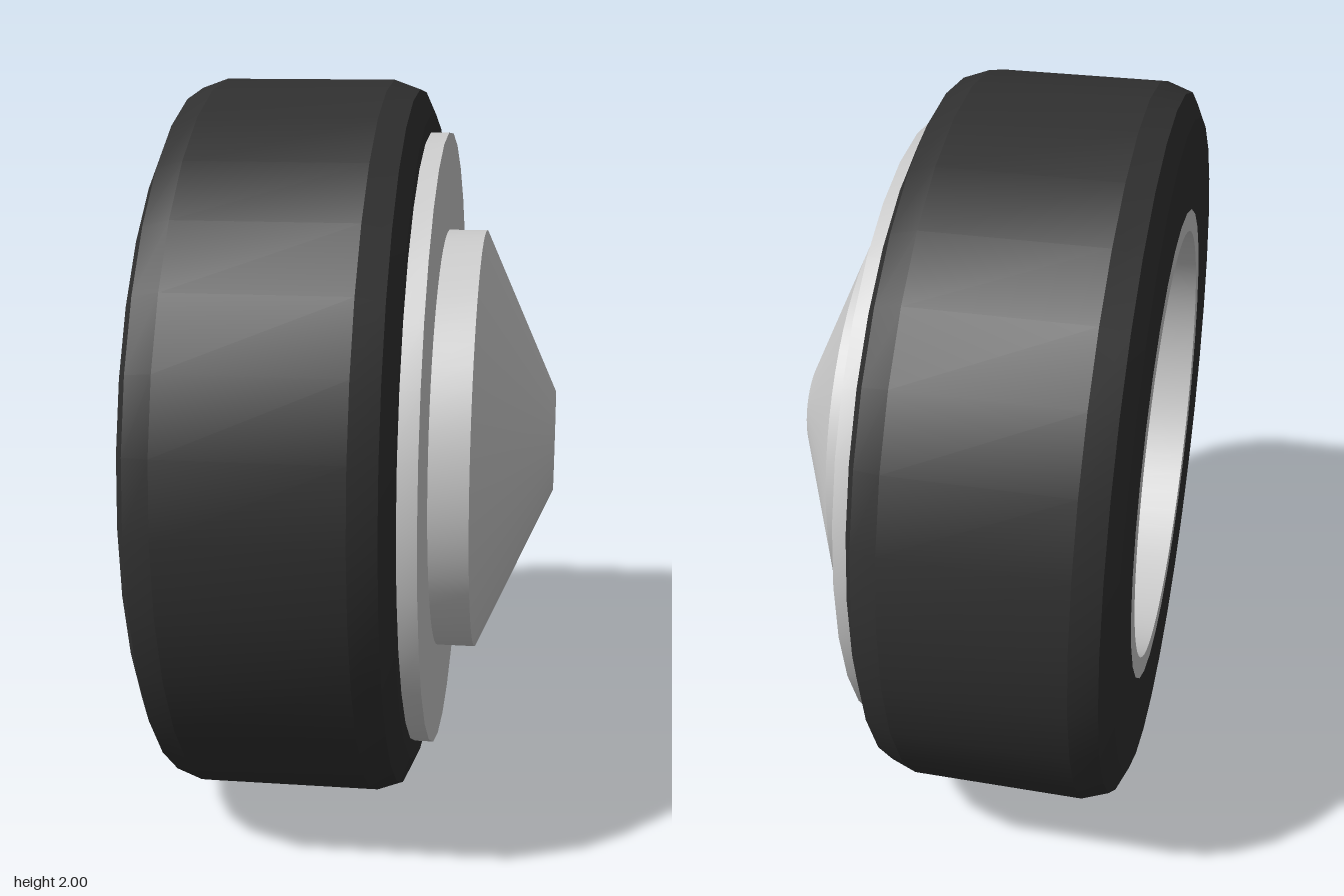
import * as THREE from 'three';
import { toCreasedNormals } from 'three/addons/utils/BufferGeometryUtils.js';

const grey = new THREE.MeshStandardMaterial({ color: 0xcccccc });
const rubber = new THREE.MeshStandardMaterial({ color: 0x303030 });
const SIDES = 32; // tyre and rim
const FINE = 64; // hub and bore
const BACK = -0.51, FLOOR = -0.17, SIDEWALL = 0.15, PLATE = 0.2;

// Solid of revolution about the x axis from [radius, x] pairs
function turned(name, profile, sides, material) {
  const points = profile.map(([r, x]) => new THREE.Vector2(r, x));
  const geometry = new THREE.LatheGeometry(points, sides).rotateZ(-Math.PI / 2);
  return named(name, toCreasedNormals(geometry, 0.3), material);
}

function named(name, geometry, material) {
  const mesh = new THREE.Mesh(geometry, material);
  mesh.name = name;
  return mesh;
}

// Plain disc of given thickness along x
const disc = (name, r, x0, x1) =>
  turned(name, [[0, x0], [r, x0], [r, x1], [0, x1]], SIDES, grey);

function circlePoints(r, n) {
  return Array.from({ length: n }, (_, i) => {
    const a = (i / n) * Math.PI * 2;
    return new THREE.Vector2(r * Math.cos(a), r * Math.sin(a));
  });
}

export function createModel() {
  const wheel = new THREE.Group();
  wheel.name = 'wheel';

  // Tyre with bevelled shoulders, closed around the rim
  wheel.add(turned('tyre', [
    [0.66, BACK], [0.91, BACK], [0.975, -0.48], [1, -0.41],
    [1, 0.05], [0.975, 0.12], [0.91, SIDEWALL], [0.66, SIDEWALL], [0.66, BACK],
  ], SIDES, rubber));

  // Rim barrel: faceted outside, round bore open at the back
  const ring = new THREE.Shape(circlePoints(0.66, SIDES));
  ring.holes.push(new THREE.Path(circlePoints(0.6, FINE)));
  const barrel = new THREE.ExtrudeGeometry(ring, { depth: FLOOR - BACK, bevelEnabled: false });
  barrel.rotateY(Math.PI / 2).translate(BACK, 0, 0);
  wheel.add(named('rimBarrel', toCreasedNormals(barrel, 0.3), grey));

  // Bore floor and outer face plate
  wheel.add(disc('boreFloor', 0.66, FLOOR, SIDEWALL));
  wheel.add(disc('facePlate', 0.86, SIDEWALL - 0.02, PLATE));

  // Hub with a truncated cone cap
  wheel.add(turned('hubCap', [
    [0.59, PLATE], [0.59, 0.305], [0.14, 0.51], [0, 0.51],
  ], FINE, grey));

  wheel.position.y = 1;
  const model = new THREE.Group();
  model.add(wheel);
  return model;
}
